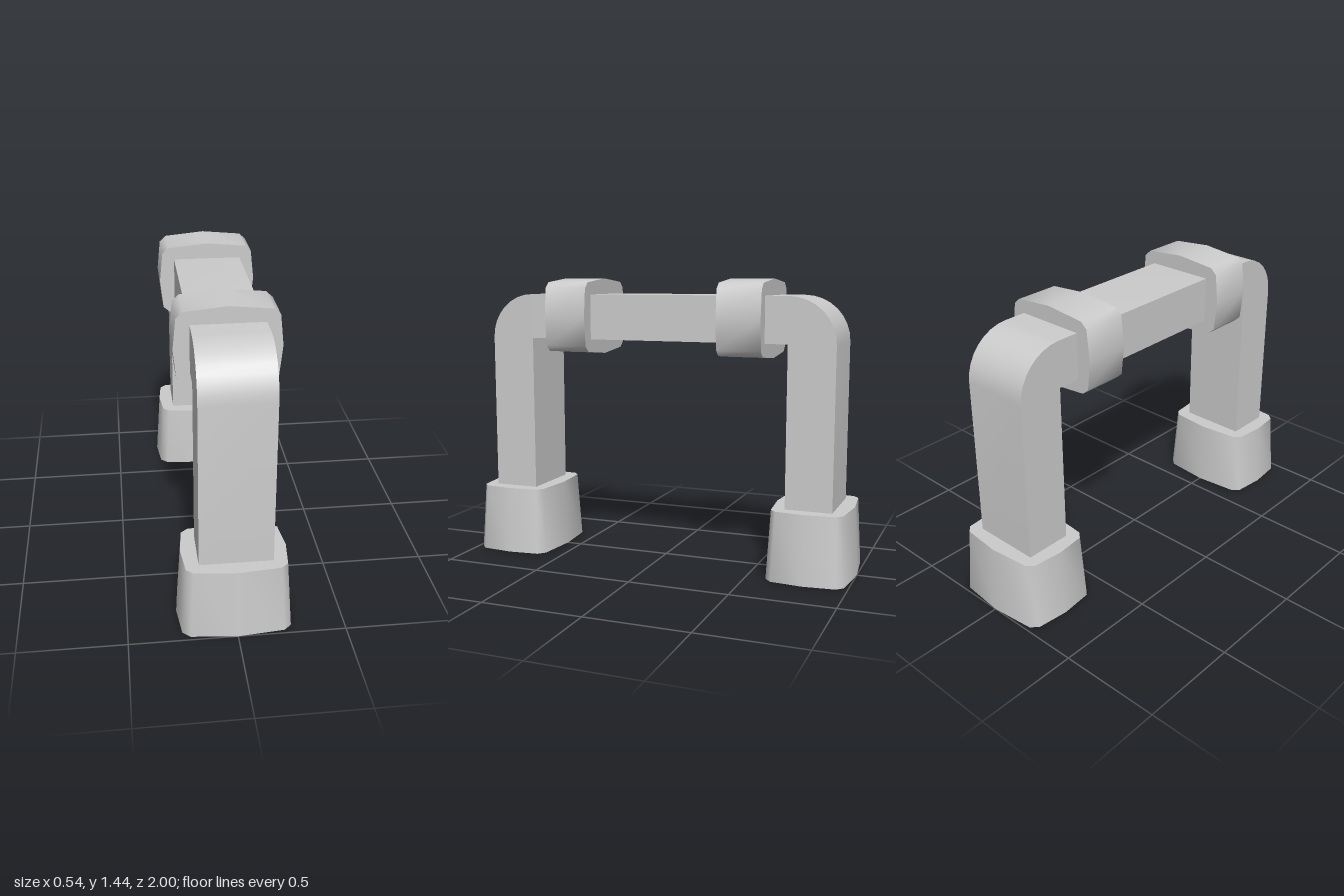
import * as THREE from 'three';
import { toCreasedNormals } from 'three/addons/utils/BufferGeometryUtils.js';

const material = new THREE.MeshStandardMaterial({ color: 0xcccccc });

// Bulged, clipped rectangle shared by the collars and the feet
function paddedOutline() {
  const quarter = [[0.245, 0], [0.23, 0.145], [0.198, 0.174], [0, 0.193]];
  const half = [...quarter, ...quarter.slice(0, 3).reverse().map(([x, y]) => [-x, y])];
  const all = [...half, ...half.slice(1, -1).reverse().map(([x, y]) => [x, -y])];
  return new THREE.Shape(all.map(([x, y]) => new THREE.Vector2(x, y)));
}

function extrude(shape, depth) {
  return new THREE.ExtrudeGeometry(shape, { depth, bevelEnabled: false, curveSegments: 4 });
}

function part(name, geometry, x, y, z) {
  const mesh = new THREE.Mesh(toCreasedNormals(geometry, 0.8), material);
  mesh.name = name;
  mesh.position.set(x, y, z);
  return mesh;
}

// Rectangular bar with rounded outer bends, drawn in profile and extruded across x
function barGeometry() {
  const outer = 0.905, inner = 0.675, under = 1.13, bend = 0.225, base = 0.3;
  const s = new THREE.Shape();
  s.moveTo(-outer, base);
  s.lineTo(-inner, base);
  s.lineTo(-inner, under);
  s.lineTo(inner, under);
  s.lineTo(inner, base);
  s.lineTo(outer, base);
  s.lineTo(outer, under);
  s.absellipse(inner, under, outer - inner, bend, 0, Math.PI / 2, false);
  s.absellipse(-inner, under, outer - inner, bend, Math.PI / 2, Math.PI, false);
  return extrude(s, 0.34).translate(0, 0, -0.17).rotateY(Math.PI / 2);
}

// Foot that widens towards the ground
function footGeometry() {
  const height = 0.34;
  const g = extrude(paddedOutline(), height).rotateX(-Math.PI / 2);
  const p = g.attributes.position;
  for (let i = 0; i < p.count; i++) {
    const k = 1.095 - 0.095 * p.getY(i) / height;
    p.setX(i, p.getX(i) * k);
    p.setZ(i, p.getZ(i) * k);
  }
  return g;
}

export function createModel() {
  const model = new THREE.Group();
  model.name = 'barHandle';
  model.add(part('bentBar', barGeometry(), 0, 0, 0));

  // A collar and a foot at each end
  for (const [end, side] of [['front', 1], ['back', -1]]) {
    const collar = extrude(paddedOutline(), 0.22).translate(0, 0, -0.11);
    model.add(part(end + 'Collar', collar, 0, 1.242, side * 0.453));
    model.add(part(end + 'Foot', footGeometry(), 0, 0, side * 0.789));
  }
  return model;
}
